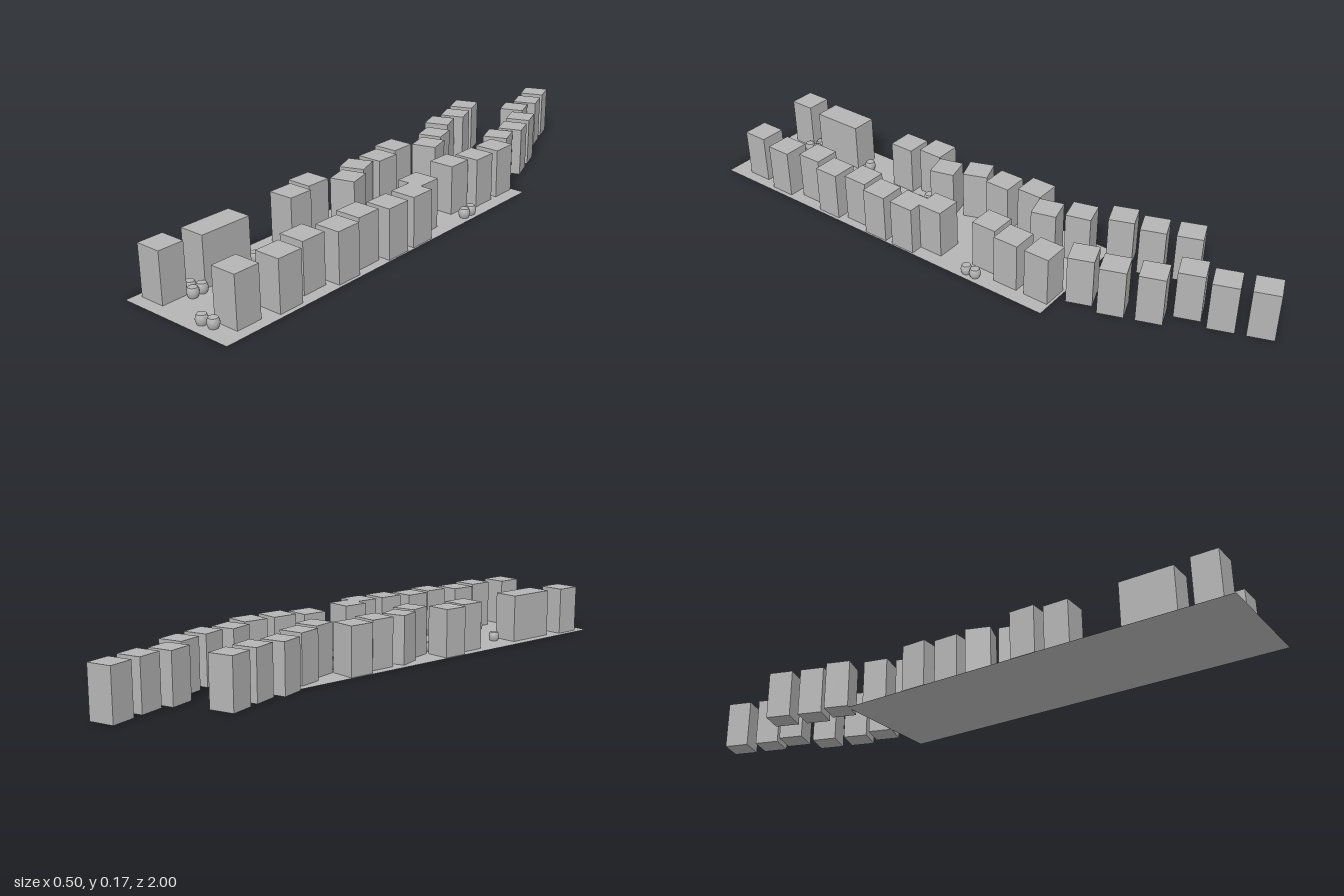
import * as THREE from 'three';

const H = 0.166; // building height
const S = 0.088; // building side

// x, z, turn in degrees, optional depth
const leftRow = [
  [0.156, -0.322, 0], [0.156, -0.206, 0], [0.13, -0.103, 0], [0.156, 0.095, 0],
  [0.198, 0.18, 0], [0.198, 0.296, 0], [0.172, 0.402, 0], [0.193, 0.513, 0],
  [0.161, 0.624, 0], [0.188, 0.745, 0], [0.166, 0.883, 0],
];
const rightRow = [
  [-0.085, -0.301, 15], [-0.034, -0.203, 15], [-0.111, -0.106, 0], [-0.085, 0.005, 0],
  [-0.085, 0.114, 20], [-0.034, 0.211, 15], [-0.111, 0.312, 0], [-0.085, 0.418, 0],
  [-0.085, 0.724, 0, 0.18], [-0.098, 0.914, 0],
];
const outerLeftRow = [
  [-0.085, -0.946, 20], [-0.045, -0.835, 20], [-0.034, -0.729, 20],
  [0.05, -0.645, 20], [0.09, -0.534, 20], [0.1, -0.428, 20],
];
const outerRightRow = [[-0.198, -0.634, 20], [-0.159, -0.526, 20], [-0.148, -0.418, 20]];

const barrels = [
  [-0.029, -0.111], [0.003, -0.127], [0.003, -0.092], [0.219, -0.103], [0.219, -0.069],
  [-0.029, 0.288], [0.008, 0.272], [0.008, 0.304], [-0.066, 0.597], [0.13, 0.56],
  [0.106, 0.692], [-0.069, 0.846], [-0.034, 0.832], [-0.032, 0.867], [0.106, 0.957], [0.145, 0.951],
];

export function createModel() {
  const model = new THREE.Group();
  model.name = 'street';
  const grey = new THREE.MeshStandardMaterial({ color: 0xb4b4b4, side: THREE.DoubleSide });
  grey.name = 'grey';

  // Flat ground sheet under the inner street
  const ground = new THREE.Mesh(new THREE.PlaneGeometry(0.41, 1.375).rotateX(-Math.PI / 2), grey);
  ground.position.set(0.043, 0, 0.3125);
  ground.name = 'ground';
  model.add(ground);

  // Rows of block buildings
  const addRow = (name, row) => {
    const group = new THREE.Group();
    group.name = name;
    for (const [x, z, turn, depth = S] of row) {
      const side = turn ? 0.084 : S;
      const block = new THREE.Mesh(new THREE.BoxGeometry(side, H, turn ? side : depth), grey);
      block.position.set(x, H / 2, z);
      block.rotation.y = THREE.MathUtils.degToRad(turn);
      block.name = 'building';
      group.add(block);
    }
    model.add(group);
  };
  addRow('leftBuildings', leftRow);
  addRow('rightBuildings', rightRow);
  addRow('outerLeftBuildings', outerLeftRow);
  addRow('outerRightBuildings', outerRightRow);

  // Bulging barrels with flat ends
  const side = [[0.014, 0], [0.0172, 0.007], [0.0187, 0.0155], [0.0172, 0.024], [0.014, 0.031]]
    .map(([r, y]) => new THREE.Vector2(r, y));
  const body = new THREE.LatheGeometry(side, 20);
  const lid = new THREE.CircleGeometry(0.014, 20).rotateX(-Math.PI / 2);
  for (const [x, z] of barrels) {
    const barrel = new THREE.Group();
    barrel.name = 'barrel';
    const top = new THREE.Mesh(lid, grey);
    top.position.y = 0.031;
    top.name = 'barrelLid';
    const shell = new THREE.Mesh(body, grey);
    shell.name = 'barrelBody';
    barrel.add(shell, top);
    barrel.position.set(x, 0, z);
    model.add(barrel);
  }
  return model;
}
